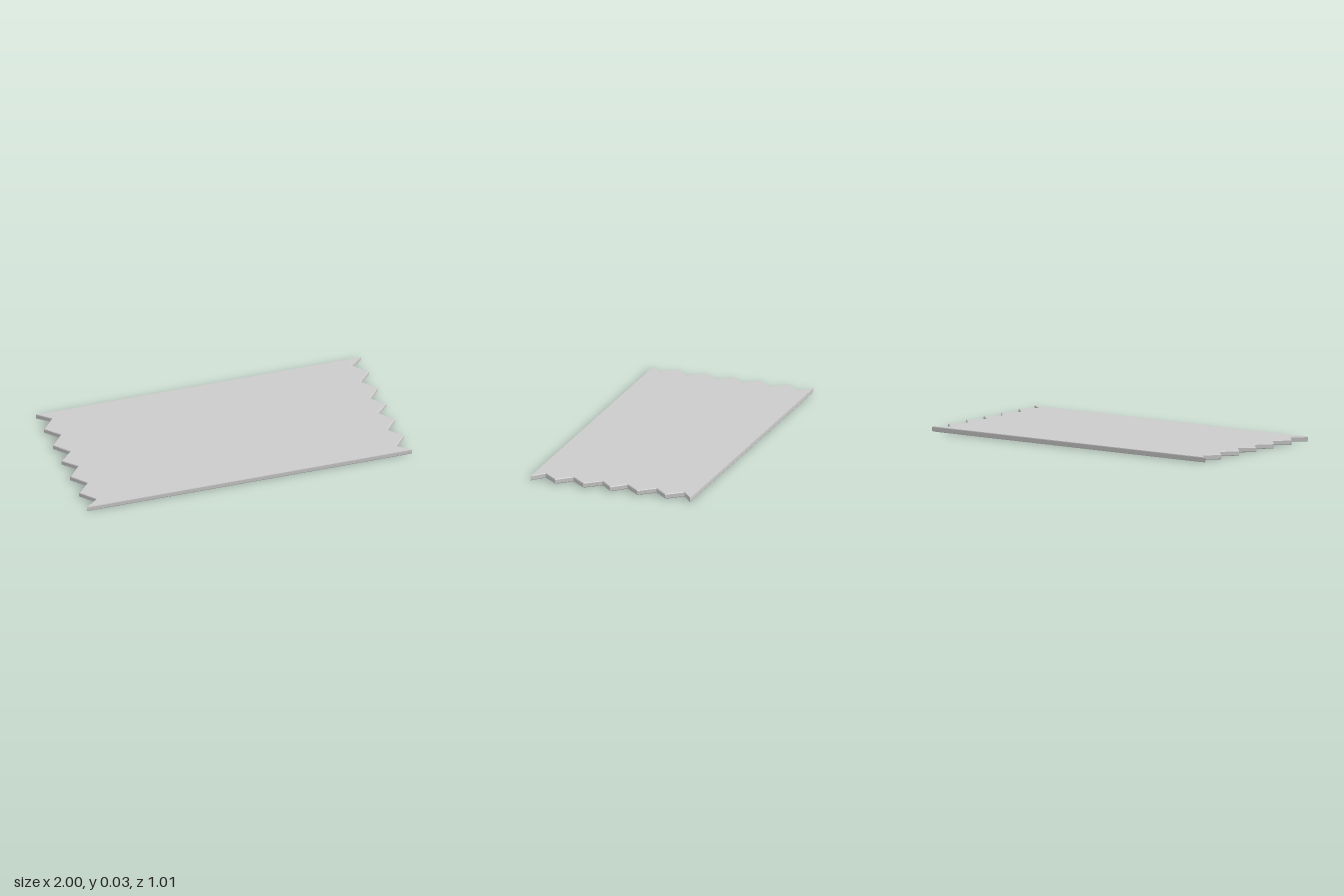
import * as THREE from 'three';

const HEIGHT = 0.03;
const BEVEL = 0.004;
const NOTCH_X = 0.922;

// z positions of tooth tips and notches on one half of a zigzag end
const TIPS = [0.17, 0.346, 0.503];
const NOTCHES = [0.079, 0.262, 0.437];

// Zigzag end from z = -0.5 to z = 0.5, as [x, z] pairs
function zigzagEnd() {
  const half = [];
  TIPS.forEach((tip, i) => half.push([NOTCH_X, NOTCHES[i]], [1, tip]));
  const mirrored = half.map(([x, z]) => [x, -z]).reverse();
  return [...mirrored, [1, 0], ...half];
}

export function createModel() {
  const group = new THREE.Group();
  group.name = 'zigzagStrip';

  // Outline: one zigzag end, then the same end mirrored and reversed
  const end = zigzagEnd();
  const outline = [...end, ...end.map(([x, z]) => [-x, z]).reverse()];
  const shape = new THREE.Shape(outline.map(([x, z]) => new THREE.Vector2(x, z)));

  // Thin slab with slightly chamfered edges, laid flat
  const geometry = new THREE.ExtrudeGeometry(shape, {
    depth: HEIGHT - 2 * BEVEL,
    bevelEnabled: true,
    bevelThickness: BEVEL,
    bevelSize: BEVEL,
    bevelOffset: -BEVEL,
    bevelSegments: 1,
  });
  geometry.rotateX(-Math.PI / 2);
  geometry.translate(0, BEVEL, 0);

  const strip = new THREE.Mesh(
    geometry,
    new THREE.MeshStandardMaterial({ color: 0xcccccc, flatShading: true })
  );
  strip.name = 'strip';
  group.add(strip);
  return group;
}
